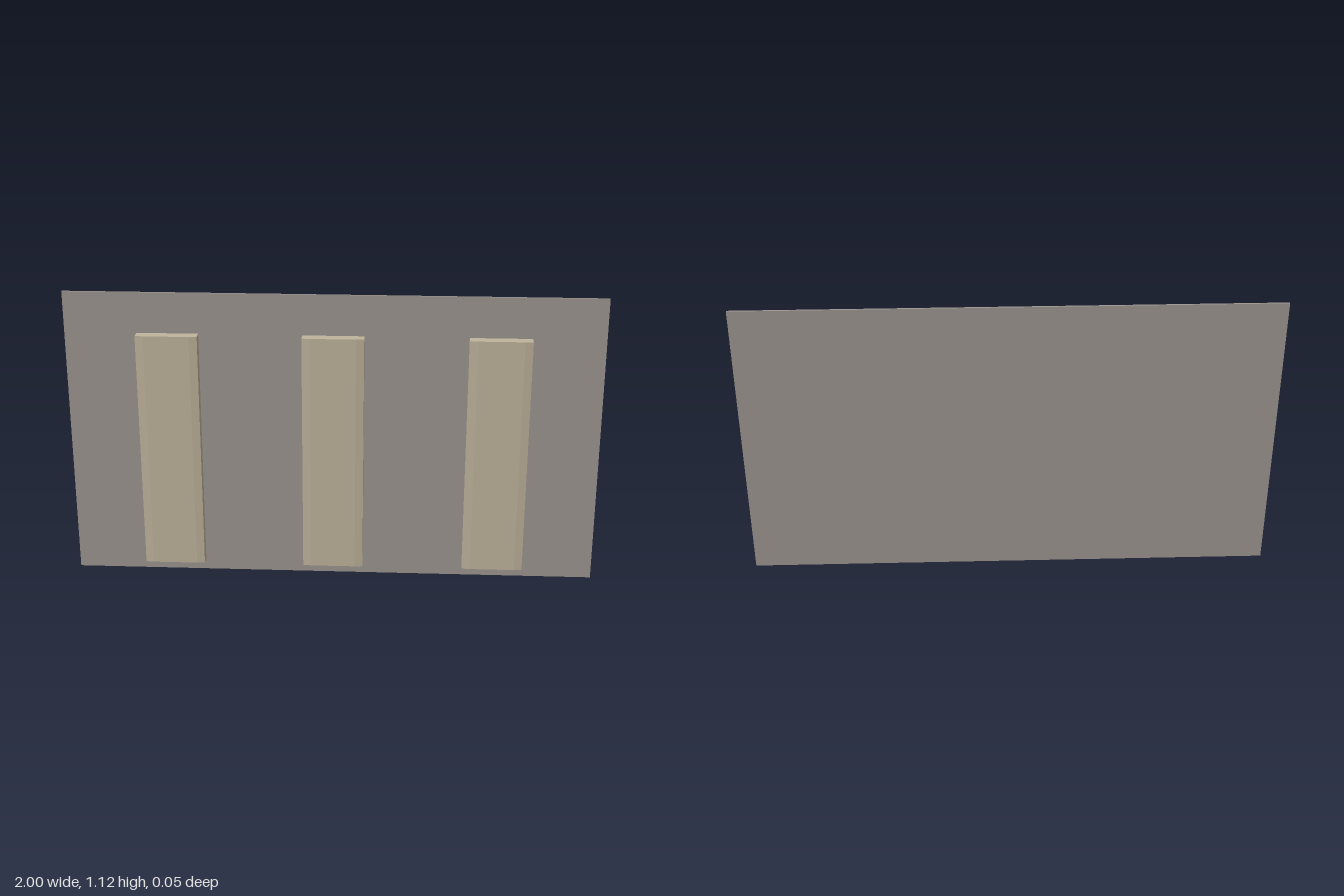
import * as THREE from 'three';

export function createModel() {
  const group = new THREE.Group();
  const stone = new THREE.MeshStandardMaterial({ name: 'greyStone', color: 0x9c9690 });
  const sand = new THREE.MeshStandardMaterial({ name: 'sandStone', color: 0xbfb49c });

  // Thin backing wall
  const wall = new THREE.Mesh(new THREE.BoxGeometry(2, 1.12, 0.007), stone);
  wall.name = 'backWall';
  wall.position.set(0, 0.56, -0.0215);
  group.add(wall);

  // Pilaster cross-section: x across, shape y runs towards the front, shallow bevelled sides
  const w = 0.115, inset = 0.085, back = -0.018, side = 0.022, front = 0.025;
  const section = new THREE.Shape([
    [-w, back], [w, back], [w, side], [inset, front], [-inset, front], [-w, side],
  ].map(([x, z]) => new THREE.Vector2(x, -z)));
  const pilasterGeometry = new THREE.ExtrudeGeometry(section, { depth: 0.92, bevelEnabled: false });
  pilasterGeometry.rotateX(-Math.PI / 2);

  // Three evenly spaced pilasters
  ['rightPilaster', 'middlePilaster', 'leftPilaster'].forEach((name, i) => {
    const pilaster = new THREE.Mesh(pilasterGeometry, sand);
    pilaster.name = name;
    pilaster.position.set((i - 1) * 0.615, 0.045, 0);
    group.add(pilaster);
  });

  return group;
}
